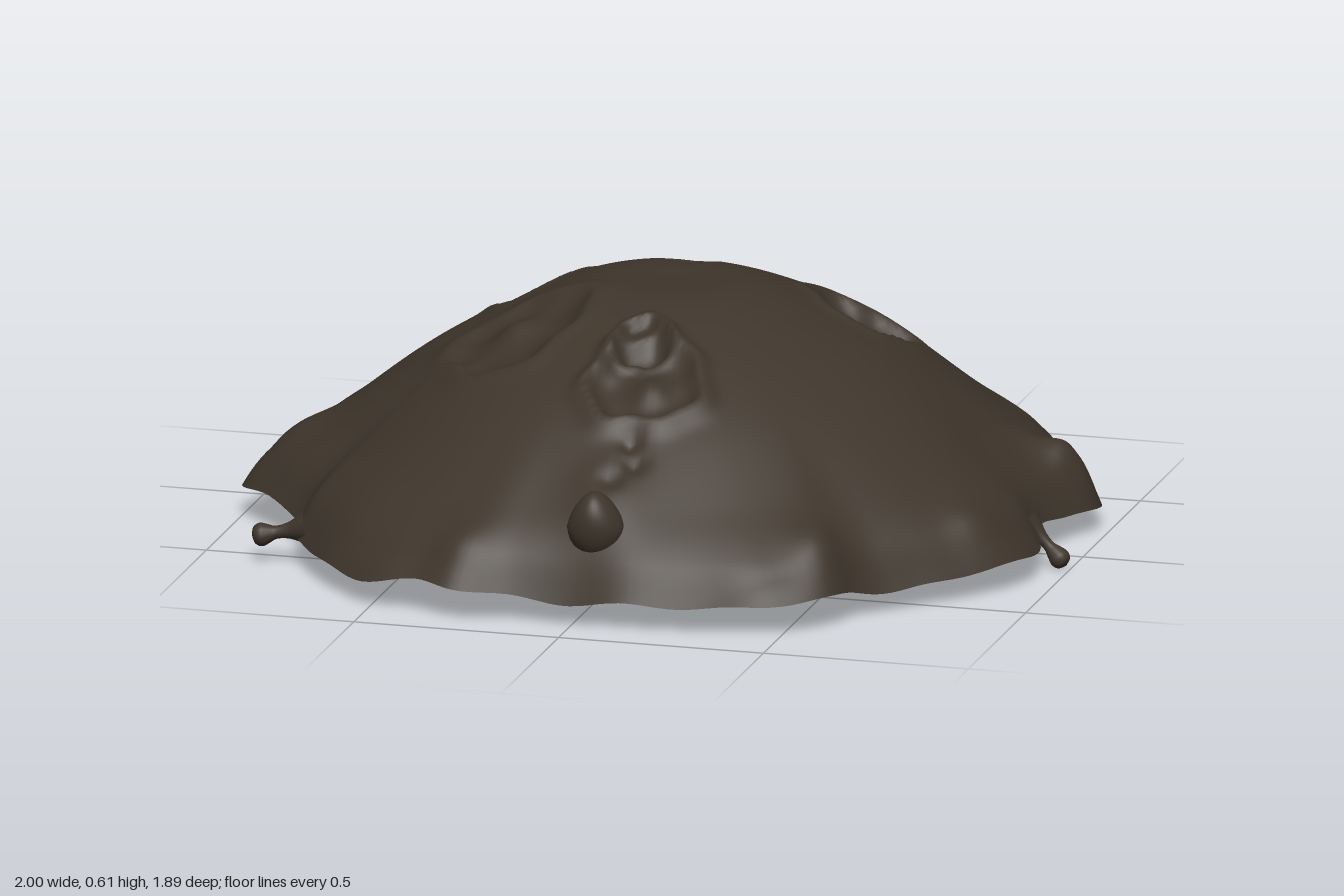
import * as THREE from 'three';

const RINGS = 100, SPOKES = 240;

// Ragged edge of the mound, as x, z pairs going round from the left side
const EDGE = [
  0.98, -0.22, 0.94, -0.1, 0.91, 0.05, 0.95, 0.2, 0.93, 0.33, 0.83, 0.46, 0.73, 0.56, 0.64, 0.66,
  0.6, 0.78, 0.48, 0.87, 0.33, 0.89, 0.15, 0.92, 0, 0.91, -0.15, 0.91, -0.28, 0.94, -0.38, 0.9,
  -0.5, 0.87, -0.62, 0.77, -0.74, 0.6, -0.78, 0.53, -0.79, 0.43, -0.9, 0.31, -1, 0.19, -0.99, 0.08,
  -0.97, -0.1, -0.96, -0.25, -0.9, -0.37, -0.79, -0.55, -0.69, -0.64, -0.56, -0.79, -0.35, -0.84,
  -0.16, -0.93, -0.05, -0.9, 0.1, -0.93, 0.25, -0.945, 0.38, -0.9, 0.6, -0.78, 0.76, -0.65,
  0.82, -0.5, 0.92, -0.38,
];
const points = [];
for (let i = 0; i < EDGE.length; i += 2) points.push(new THREE.Vector3(EDGE[i], 0, EDGE[i + 1]));
const edge = new THREE.CatmullRomCurve3(points, true);

// Dome section: fraction of the radius, height
const SECTION = [[0, 0.597], [0.2, 0.592], [0.42, 0.515], [0.62, 0.405], [0.82, 0.25], [0.94, 0.15], [1, 0.06]];

// Popped bubbles: x, z, radius, depth of the dip, height of the lip
const CRATERS = [
  [-0.39, -0.21, 0.11, 0.045, 0.006],
  [0.41, -0.2, 0.125, 0.065, 0.008],
  [-0.02, -0.2, 0.08, 0.015, 0],
  [-0.32, 0.23, 0.17, 0.04, 0.008],
  [0.06, 0.46, 0.13, 0.035, 0.02],
  [0.02, 0.34, 0.07, 0.03, 0.01],
];
// Soft lumps and dents: x, z, width, height
const LUMPS = [
  [-0.33, 0.2, 0.06, 0.035], [0.08, 0.48, 0.05, 0.035], [0.93, -0.2, 0.08, 0.08],
  [0.86, 0.38, 0.07, 0.03], [0.56, 0.72, 0.07, 0.03], [-0.28, 0.88, 0.07, 0.02],
  [0.05, 0.77, 0.09, 0.03], [-0.9, 0.12, 0.1, 0.03],
  [-0.48, 0, 0.16, -0.035], [0, -0.58, 0.25, -0.02],
  [0.07, 0.62, 0.025, -0.025], [0.09, 0.67, 0.025, -0.025], [0.05, 0.72, 0.025, -0.02],
];

// Smooth curve through the dome section
function domeHeight(t) {
  const last = SECTION.length - 1;
  let i = 0;
  while (i < last - 1 && t > SECTION[i + 1][0]) i++;
  const slope = (k) => {
    if (k === 0) return 0;
    const lo = SECTION[k - 1], hi = SECTION[Math.min(last, k + 1)];
    return (hi[1] - lo[1]) / (hi[0] - lo[0]);
  };
  const [a, ya] = SECTION[i], [b, yb] = SECTION[i + 1];
  const w = b - a, s = (t - a) / w;
  return (2 * s ** 3 - 3 * s * s + 1) * ya + (s ** 3 - 2 * s * s + s) * w * slope(i)
    + (3 * s * s - 2 * s ** 3) * yb + (s ** 3 - s * s) * w * slope(i + 1);
}

// Waves running round the edge
function rimWave(angle) {
  return 0.01 * Math.sin(7 * angle + 0.6) + 0.008 * Math.sin(13 * angle + 2) + 0.005 * Math.sin(23 * angle);
}

function topHeight(x, z, t) {
  // Round in the middle, following the ragged edge only near the rim
  const round = Math.min(1, Math.hypot(x, z) / 0.95);
  let y = domeHeight(THREE.MathUtils.lerp(round, t, t ** 6));
  y += rimWave(Math.atan2(z, x)) * t ** 12;
  y += 0.004 * Math.sin(9 * x + 2 * z) * Math.sin(8 * z - 3 * x) * t * (1 - t ** 8);
  for (const [cx, cz, r, depth, lip] of CRATERS) {
    const a = Math.atan2(z - cz, x - cx);
    const d = Math.hypot(x - cx, z - cz) / (r * (1 + 0.08 * Math.sin(3 * a + cx * 9) + 0.04 * Math.sin(7 * a)));
    if (d < 1) y -= depth * (1 - d ** 3);
    y += lip * Math.exp(-(((d - 1.05) / 0.2) ** 2));
  }
  for (const [cx, cz, r, h] of LUMPS) {
    y += h * Math.exp(-((x - cx) ** 2 + (z - cz) ** 2) / (r * r)) * (1 - t ** 30);
  }
  return y;
}

// Hollow underside, a shallow bowl
function underHeight(x, z, t) {
  return 0.06 + rimWave(Math.atan2(z, x)) * t ** 12 + 0.175 * (1 - t ** 2.8);
}

// Sheet of rings growing from the centre to the ragged edge
function sheet(height, facesUp) {
  const position = [], index = [];
  for (let i = 0; i <= RINGS; i++) {
    const t = i / RINGS;
    for (let j = 0; j < SPOKES; j++) {
      const p = edge.getPoint(j / SPOKES);
      const x = p.x * t, z = p.z * t;
      position.push(x, height(x, z, t), z);
      if (i === RINGS) continue;
      const k = (j + 1) % SPOKES;
      const a = i * SPOKES + j, b = i * SPOKES + k, c = a + SPOKES, d = b + SPOKES;
      if (facesUp) index.push(a, d, c, a, b, d);
      else index.push(a, c, d, a, d, b);
    }
  }
  const geometry = new THREE.BufferGeometry();
  geometry.setAttribute('position', new THREE.Float32BufferAttribute(position, 3));
  geometry.setIndex(index);
  geometry.computeVertexNormals();
  return geometry;
}

export function createModel() {
  const model = new THREE.Group();
  model.name = 'mudMound';
  const mud = new THREE.MeshStandardMaterial({ color: 0x3e352b });
  mud.name = 'dark mud';

  function add(name, geometry) {
    const mesh = new THREE.Mesh(geometry, mud);
    mesh.name = name;
    model.add(mesh);
    return mesh;
  }

  add('dome', sheet(topHeight, true));
  add('underside', sheet(underHeight, false));

  // Bubble swelling low on the front, pinched towards the top
  const bubbleShape = new THREE.SphereGeometry(1, 28, 20);
  const spot = bubbleShape.attributes.position;
  for (let i = 0; i < spot.count; i++) {
    const pinch = 1 - 0.3 * Math.max(0, spot.getY(i));
    spot.setX(i, spot.getX(i) * pinch);
  }
  bubbleShape.computeVertexNormals();
  const bubble = add('frontBubble', bubbleShape);
  bubble.scale.set(0.068, 0.085, 0.06);
  bubble.position.set(0.04, 0.22, 0.82);
  bubble.rotation.x = 0.2;

  // Drips: a lathed neck that swells into a drop, laid from root to tip
  function drip(name, root, tip, radius) {
    const from = new THREE.Vector3(...root), to = new THREE.Vector3(...tip);
    const length = from.distanceTo(to);
    const profile = [[1.5, 0], [0.75, 0.3], [0.55, 0.55], [0.8, 0.7], [1, 0.83], [0.75, 0.95], [0, 1]]
      .map(([r, h]) => new THREE.Vector2(r * radius, h * length));
    const mesh = add(name, new THREE.LatheGeometry(new THREE.SplineCurve(profile).getPoints(24), 16));
    mesh.position.copy(from);
    mesh.quaternion.setFromUnitVectors(new THREE.Vector3(0, 1, 0), to.sub(from).normalize());
  }
  drip('leftDrip', [0.89, 0.1, 0.1], [0.99, 0, 0.11], 0.025);
  drip('rightBackDrip', [-0.9, 0.08, -0.27], [-0.985, 0.055, -0.4], 0.028);
  drip('rightFrontDrip', [-0.74, 0.08, 0.55], [-0.87, 0.055, 0.565], 0.028);

  return model;
}
